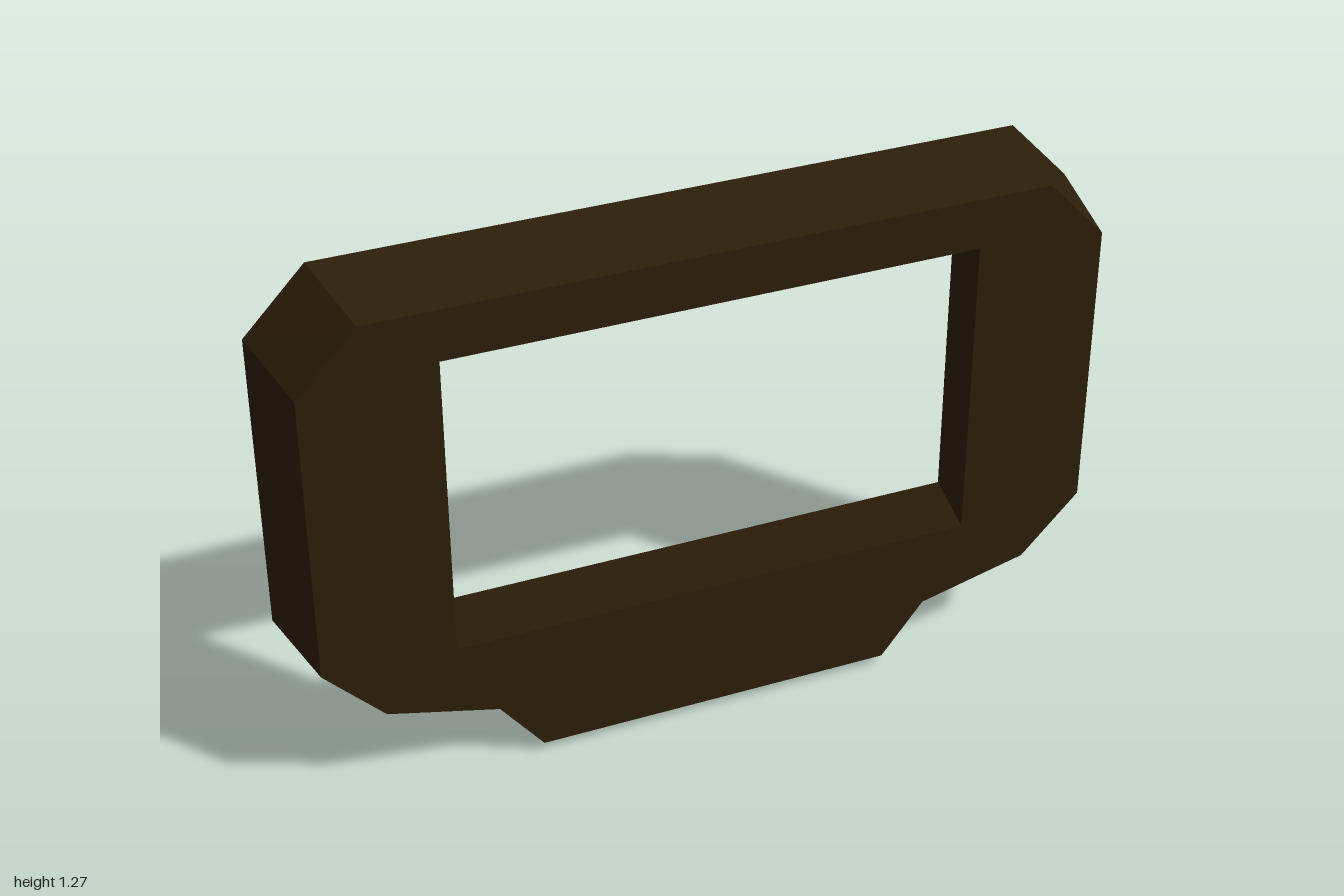
import * as THREE from 'three';

export function createModel() {
  const model = new THREE.Group();
  const darkBrown = new THREE.MeshStandardMaterial({ name: 'darkBrown', color: 0x2c1e09, flatShading: true });
  const rust = new THREE.MeshStandardMaterial({ name: 'rust', color: 0xa54b23, flatShading: true });

  const BACK = -0.102, FRONT = 0.157, MID_Y = 0.62;
  const HOLE = { x: 0.64, bottom: 0.36, top: 1.125 };
  const HOLE_MID = (HOLE.bottom + HOLE.top) / 2;

  // Frame outline at the back: right half going up, then mirrored going down
  const half = [[0.46, 0], [0.57, 0.14], [0.85, 0.21], [1, 0.365], [1, 1.118], [0.85, 1.275]];
  const mirrored = half.map(([x, y]) => [-x, y]).reverse();
  const toPoints = (list) => list.map(([x, y]) => new THREE.Vector2(x, y));
  const outline = new THREE.Shape(toPoints([...half, ...mirrored]));

  // Rectangular opening, at its front size
  outline.holes.push(new THREE.Path(toPoints([
    [-HOLE.x, HOLE.bottom], [-HOLE.x, HOLE.top], [HOLE.x, HOLE.top], [HOLE.x, HOLE.bottom],
  ])));
  const frameGeo = new THREE.ExtrudeGeometry(outline, { depth: FRONT - BACK, bevelEnabled: false });
  frameGeo.translate(0, 0, BACK);

  // Taper the outer walls towards the front and widen the opening towards the back
  const pos = frameGeo.attributes.position;
  for (let i = 0; i < pos.count; i++) {
    const x = pos.getX(i), y = pos.getY(i), atFront = pos.getZ(i) > 0;
    const onOpening = Math.abs(x) < HOLE.x + 0.01 && y > HOLE.bottom - 0.01 && y < HOLE.top + 0.01;
    if (atFront && !onOpening) pos.setXY(i, x * 0.957, MID_Y + (y - MID_Y) * 0.963);
    if (!atFront && onOpening) pos.setXY(i, x * 1.11, HOLE_MID + (y - HOLE_MID) * 1.14);
  }
  frameGeo.computeVertexNormals();
  const frame = new THREE.Mesh(frameGeo, darkBrown);
  frame.name = 'frame';
  model.add(frame);

  // Three hexagonal bolts on the back of the lower tab
  const boltGeo = new THREE.CylinderGeometry(0.078, 0.078, 0.065, 6);
  boltGeo.rotateY(Math.PI / 6).rotateX(Math.PI / 2);
  const bolts = new THREE.Group();
  bolts.name = 'bolts';
  for (const x of [-0.365, -0.002, 0.348]) {
    const bolt = new THREE.Mesh(boltGeo, rust);
    bolt.name = 'bolt';
    bolt.position.set(x, 0.134, BACK - 0.0225);
    bolts.add(bolt);
  }
  model.add(bolts);

  return model;
}
